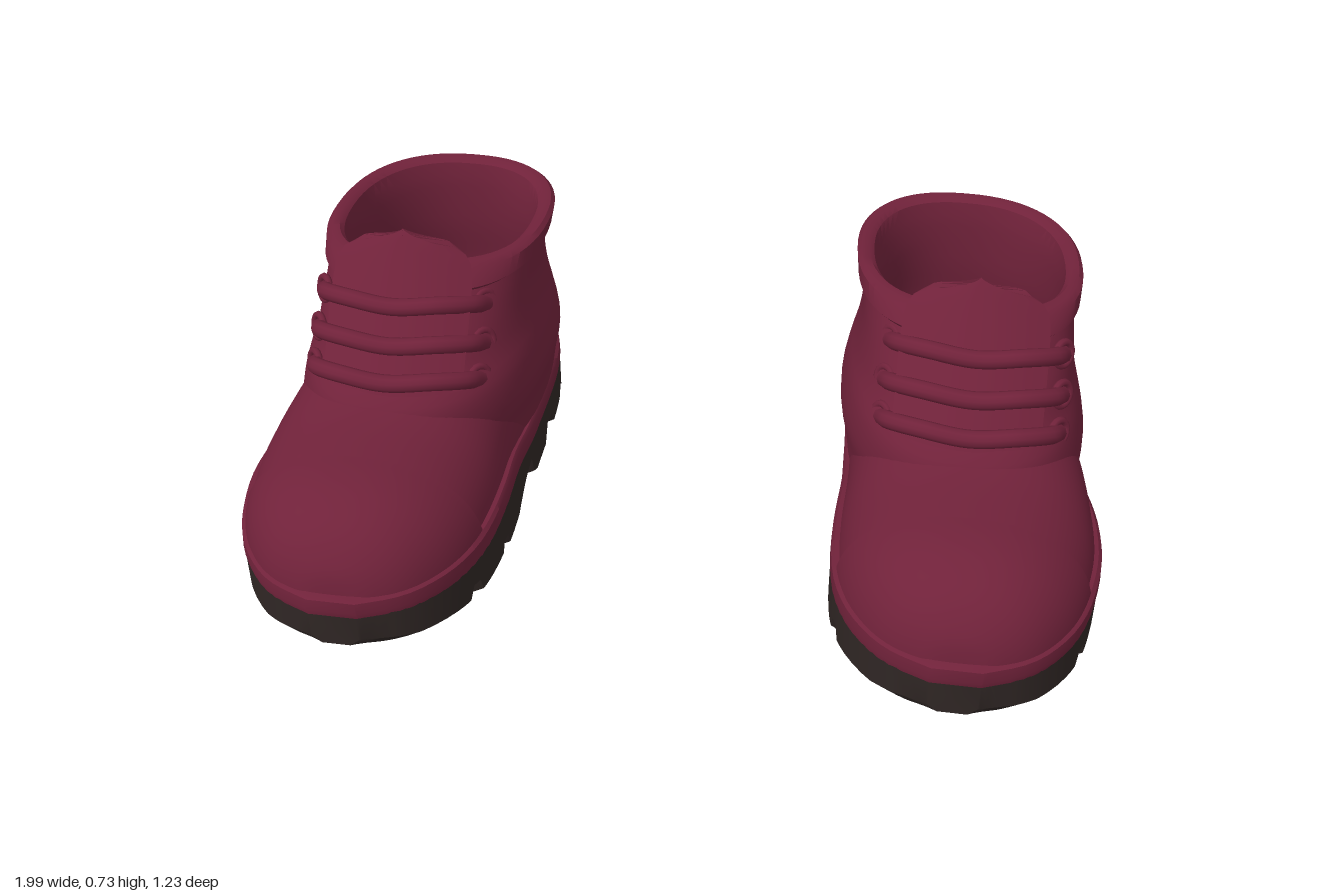
import * as THREE from 'three';
import { toCreasedNormals } from 'three/addons/utils/BufferGeometryUtils.js';

const V = (x, y, z) => new THREE.Vector3(x, y, z);
const spow = (v, p) => Math.sign(v) * Math.pow(Math.abs(v), p);

// Smooth lookup in a table of rows [key, a, b, ...]
function sample(table, t, linear = false) {
  const n = table.length;
  t = Math.min(Math.max(t, table[0][0]), table[n - 1][0]);
  let i = 0;
  while (i < n - 2 && t > table[i + 1][0]) i++;
  const A = table[i], B = table[i + 1], h = B[0] - A[0], s = (t - A[0]) / h;
  const slope = (k, c) => {
    const p = table[Math.max(k - 1, 0)], q = table[Math.min(k + 1, n - 1)];
    return (q[c] - p[c]) / (q[0] - p[0]);
  };
  return A.slice(1).map((a, j) => {
    const c = j + 1, b = B[c];
    if (linear) return a + (b - a) * s;
    const s2 = s * s, s3 = s2 * s;
    return (2 * s3 - 3 * s2 + 1) * a + (s3 - 2 * s2 + s) * h * slope(i, c)
      + (3 * s2 - 2 * s3) * b + (s3 - s2) * h * slope(i + 1, c);
  });
}

// Skin a list of equal-length rows of points
function loft(rows, closed, crease = 0.7) {
  const m = rows[0].length, index = [];
  const pos = rows.flat().flatMap((p) => [p.x, p.y, p.z]);
  for (let r = 0; r < rows.length - 1; r++) {
    for (let i = 0; i < (closed ? m : m - 1); i++) {
      const j = (i + 1) % m, a = r * m + i, b = r * m + j;
      index.push(a, b, a + m, b, b + m, a + m);
    }
  }
  const g = new THREE.BufferGeometry();
  g.setAttribute('position', new THREE.Float32BufferAttribute(pos, 3));
  g.setIndex(index);
  return toCreasedNormals(g, crease);
}

// Sole outline: z, inner x, outer x
const OUTLINE = [
  [-0.61, 0.58, 0.68], [-0.59, 0.50, 0.75], [-0.55, 0.44, 0.80], [-0.48, 0.40, 0.845],
  [-0.35, 0.378, 0.885], [-0.15, 0.385, 0.94], [0, 0.39, 0.975], [0.2, 0.385, 0.995],
  [0.35, 0.397, 0.975], [0.45, 0.43, 0.94], [0.53, 0.485, 0.885], [0.58, 0.545, 0.825],
  [0.617, 0.63, 0.74],
];
const SOLE_TOP = [[-0.61, 0.145], [-0.35, 0.155], [-0.1, 0.14], [0.1, 0.17], [0.62, 0.17]];
// Tread profile: z, bottom y
const TREAD = [
  [-0.61, 0.07], [-0.585, 0.045], [-0.56, 0.02], [-0.45, 0.025], [-0.425, 0.065], [-0.40, 0.065],
  [-0.38, 0.04], [-0.29, 0.03], [-0.27, 0.065], [-0.23, 0.065], [-0.205, 0.015], [-0.12, 0.004],
  [-0.09, 0.02], [-0.075, 0.07], [-0.03, 0.06], [0.08, 0.02], [0.19, 0.03], [0.205, 0.065],
  [0.235, 0.07], [0.25, 0.045], [0.38, 0.05], [0.39, 0.085], [0.415, 0.09], [0.43, 0.055],
  [0.55, 0.062], [0.617, 0.08],
];
// Toe and vamp ridge: z, top y
const RIDGE = [
  [-0.1, 0.46], [0, 0.45], [0.1, 0.425], [0.2, 0.402], [0.34, 0.392], [0.39, 0.39], [0.45, 0.38],
  [0.51, 0.355], [0.55, 0.322], [0.58, 0.28], [0.595, 0.245], [0.602, 0.205],
];
// Ankle: y, back z, front z, inner x, outer x
const ANKLE = [
  [0.15, -0.598, 0.2, 0.39, 0.925], [0.25, -0.61, 0.2, 0.375, 0.94], [0.32, -0.613, 0.2, 0.363, 0.94],
  [0.40, -0.60, 0.185, 0.375, 0.92], [0.45, -0.592, 0.13, 0.388, 0.905], [0.52, -0.588, 0.07, 0.398, 0.895],
  [0.58, -0.588, 0, 0.395, 0.89], [0.65, -0.592, -0.08, 0.388, 0.89],
];

function soleGeometry() {
  const zs = [...TREAD, ...OUTLINE].map((r) => r[0]);
  for (let i = 0; i <= 40; i++) zs.push(0.0035 - 0.6135 * Math.cos((Math.PI * i) / 40));
  zs.sort((a, b) => a - b);
  const rows = zs.filter((z, i) => !i || z - zs[i - 1] > 0.0005).map((z) => {
    const [l, r] = sample(OUTLINE, z), [t] = sample(SOLE_TOP, z), [b] = sample(TREAD, z, true);
    const e = Math.min(0.035, (r - l) * 0.2);
    return [V(l, t, z), V(r, t, z), V(r, b + 0.02, z), V(r - e, b, z), V(l + e, b, z), V(l, b + 0.02, z)];
  });
  const cap = (row) => {
    const c = row.reduce((s, p) => s.add(p), V(0, 0, 0)).divideScalar(row.length);
    return row.map(() => c);
  };
  return loft([cap(rows[0]), ...rows, cap(rows[rows.length - 1])], true, 0.5);
}

// Lip running round the top of the sole
function weltGeometry() {
  const right = [], left = [], N = 44;
  for (let i = 0; i <= N; i++) {
    const z = 0.0035 - 0.6135 * Math.cos((Math.PI * i) / N), [l, r] = sample(OUTLINE, z);
    right.push([r, z]);
    left.unshift([l, z]);
  }
  const loop = [...right, ...left];
  const row = (s, dy) => loop.map(([x, z]) =>
    V(0.67 + (x - 0.67) * s, sample(SOLE_TOP, z)[0] + dy, z * s));
  return loft([row(1, -0.005), row(1.005, 0.01), row(1, 0.038), row(0.975, 0.046), row(0.93, 0.046)], true);
}

// Arched cross-sections of the forefoot, grown outwards by g
function archRow(z, g) {
  const [l, r] = sample(OUTLINE, z * 1.015), [top] = sample(RIDGE, z);
  const c = (l + r) / 2, w = ((r - l) / 2) * 0.955 + g, row = [];
  for (let i = 0; i <= 32; i++) {
    const a = (Math.PI * i) / 32;
    row.push(V(c + w * spow(Math.cos(a), 0.9), 0.17 + (top + g - 0.17) * spow(Math.sin(a), 0.9), z));
  }
  return row;
}
function archGeometry(z0, z1, n, g, lip) {
  const rows = lip ? [archRow(z0, -0.004)] : [];
  for (let i = 0; i <= n; i++) rows.push(archRow(z0 + (z1 - z0) * Math.sin((Math.PI / 2) * (i / n)), g));
  if (lip) rows.push(rows[rows.length - 1].map((p) => V(p.x, 0.17, p.z)));
  return loft(rows, false);
}

// Horizontal ring of the ankle
function ankleRing(y, inset) {
  const [zB, zF, xL, xR] = sample(ANKLE, y), row = [];
  const zc = (zB + zF) / 2, a = (zF - zB) / 2 - inset, w = (xR - xL) / 2 - inset;
  for (let i = 0; i < 64; i++) {
    const t = (Math.PI * 2 * i) / 64, dz = a * spow(Math.sin(t), 0.87);
    // rim rises slightly beside the tongue
    const lift = y > 0.57 ? 0.015 * Math.max(0, Math.sin(t)) ** 4 : 0;
    row.push(V((xL + xR) / 2 + w * spow(Math.cos(t), 0.87) + 0.07 * dz, y + lift, zc + dz));
  }
  return row;
}
function ankleGeometry() {
  const rows = [];
  for (let y = 0.15; y < 0.585; y += 0.02) rows.push(ankleRing(y, 0));
  rows.push(ankleRing(0.592, 0), ankleRing(0.6, -0.012), ankleRing(0.634, -0.014), ankleRing(0.643, -0.004),
    ankleRing(0.643, 0.014), ankleRing(0.634, 0.026));
  for (let y = 0.6; y > 0.14; y -= 0.03) rows.push(ankleRing(y, 0.03));
  return loft(rows, true);
}

// Padded tongue, leaning back and curved round the ankle
function tongueGeometry() {
  const front = [], back = [];
  for (let j = 0; j <= 14; j++) {
    const v = j / 14, y = 0.43 + 0.305 * v, f = [], b = [];
    const half = 0.168 * Math.pow(Math.max(0, 1 - Math.pow(v, 9)), 0.5);
    for (let i = 0; i <= 16; i++) {
      const u = (i / 8) - 1, dx = u * half;
      const drop = 0.03 * v ** 4 * u * u;
      const z = 0.155 - 0.245 * v - 1.7 * dx * dx;
      const thick = 0.045 * Math.sqrt(Math.max(0, 1 - v ** 6)) * Math.sqrt(Math.max(0, 1 - u ** 6));
      f.push(V(0.665 + dx, y - drop, z));
      b.unshift(V(0.665 + dx, y - drop, z - thick));
    }
    front.push([...f, ...b]);
  }
  return loft(front, true);
}

function createBoot(red, dark) {
  const boot = new THREE.Group();
  const add = (name, geometry, material = red) => {
    const m = new THREE.Mesh(geometry, material);
    m.name = name;
    boot.add(m);
    return m;
  };
  add('sole', soleGeometry(), dark);
  add('welt', weltGeometry());
  add('vamp', archGeometry(-0.1, 0.36, 16, 0, false));
  add('toeCap', archGeometry(0.345, 0.602, 22, 0.009, true));
  add('ankle', ankleGeometry());
  add('tongue', tongueGeometry());

  // Laces with an eyelet at each end
  [[0.598, 0.027, 0.195], [0.527, 0.085, 0.2], [0.462, 0.142, 0.2]].forEach(([y, z, w]) => {
    const pts = [[-1, -0.045, -0.105], [-0.9, -0.02, -0.06], [-0.55, 0, -0.015], [0, -0.005, 0],
      [0.55, 0, -0.015], [0.9, -0.02, -0.06], [1, -0.045, -0.105]];
    const curve = new THREE.CatmullRomCurve3(pts.map(([u, dy, dz]) => V(0.672 + u * w, y + dy, z + dz)));
    add('lace', new THREE.TubeGeometry(curve, 32, 0.021, 10));
    for (const s of [-1, 1]) {
      const eyelet = add('eyelet', new THREE.TorusGeometry(0.028, 0.009, 8, 18));
      eyelet.position.set(0.672 + s * w, y - 0.04, z - 0.1);
      eyelet.lookAt(eyelet.position.clone().add(V(s * 0.75, 0.25, 0.6)));
    }
  });
  return boot;
}

export function createModel() {
  const red = new THREE.MeshStandardMaterial({ color: 0x70223a, side: THREE.DoubleSide });
  red.name = 'burgundy leather';
  const dark = new THREE.MeshStandardMaterial({ color: 0x2f2624, side: THREE.DoubleSide });
  dark.name = 'dark rubber';
  const model = new THREE.Group();
  model.name = 'boots';
  const left = createBoot(red, dark), right = createBoot(red, dark);
  left.name = 'leftBoot';
  right.name = 'rightBoot';
  right.scale.x = -1;
  model.add(left, right);
  return model;
}
